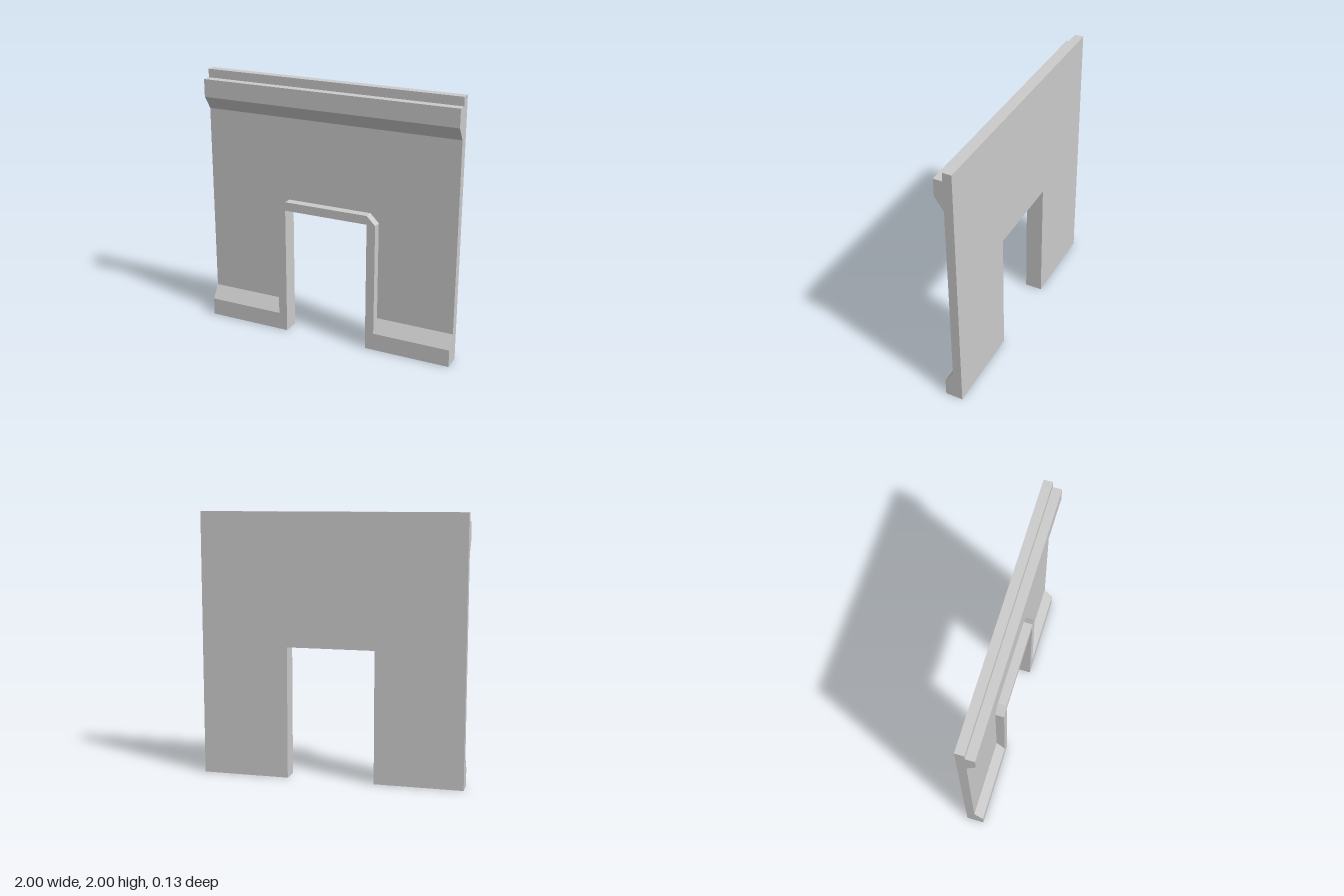
import * as THREE from 'three';

const T = 0.067; // wall thickness, also the projection of the trim
const DOOR = 0.333, DOOR_TOP = 1.0, FRAME = 0.4;

const material = new THREE.MeshStandardMaterial({ color: 0xcccccc, flatShading: true });

function extrude(points, depth) {
  const shape = new THREE.Shape(points.map(([x, y]) => new THREE.Vector2(x, y)));
  return new THREE.ExtrudeGeometry(shape, { depth, bevelEnabled: false });
}

// Moulding: a (z, y) profile swept along x from x0 to x1
function moulding(profile, x0, x1) {
  return extrude(profile, x1 - x0).rotateY(-Math.PI / 2).translate(x1, 0, 0);
}

export function createModel() {
  const group = new THREE.Group();
  const add = (name, geometry) => {
    const mesh = new THREE.Mesh(geometry, material);
    mesh.name = name;
    group.add(mesh);
  };

  // Wall slab with the doorway cut out of its lower edge
  add('wall', extrude([
    [-1, 0], [-DOOR, 0], [-DOOR, DOOR_TOP], [DOOR, DOOR_TOP],
    [DOOR, 0], [1, 0], [1, 2], [-1, 2],
  ], T).translate(0, 0, -T));

  // Door surround with clipped upper corners
  add('doorFrame', extrude([
    [-FRAME, 0], [-DOOR, 0], [-DOOR, DOOR_TOP], [DOOR, DOOR_TOP], [DOOR, 0], [FRAME, 0],
    [FRAME, DOOR_TOP], [DOOR, DOOR_TOP + T], [-DOOR, DOOR_TOP + T], [-FRAME, DOOR_TOP],
  ], T));

  // Cornice, sloped underneath and set just below the top of the wall
  add('cornice', moulding([[0, 1.7], [T, 1.8], [T, 1.935], [0, 1.935]], -1, 1));

  // Skirting with a sloped top on each side of the door
  const skirting = [[0, 0], [T, 0], [T, 0.135], [0, 0.235]];
  add('leftSkirting', moulding(skirting, FRAME, 1));
  add('rightSkirting', moulding(skirting, -1, -FRAME));

  return group;
}
